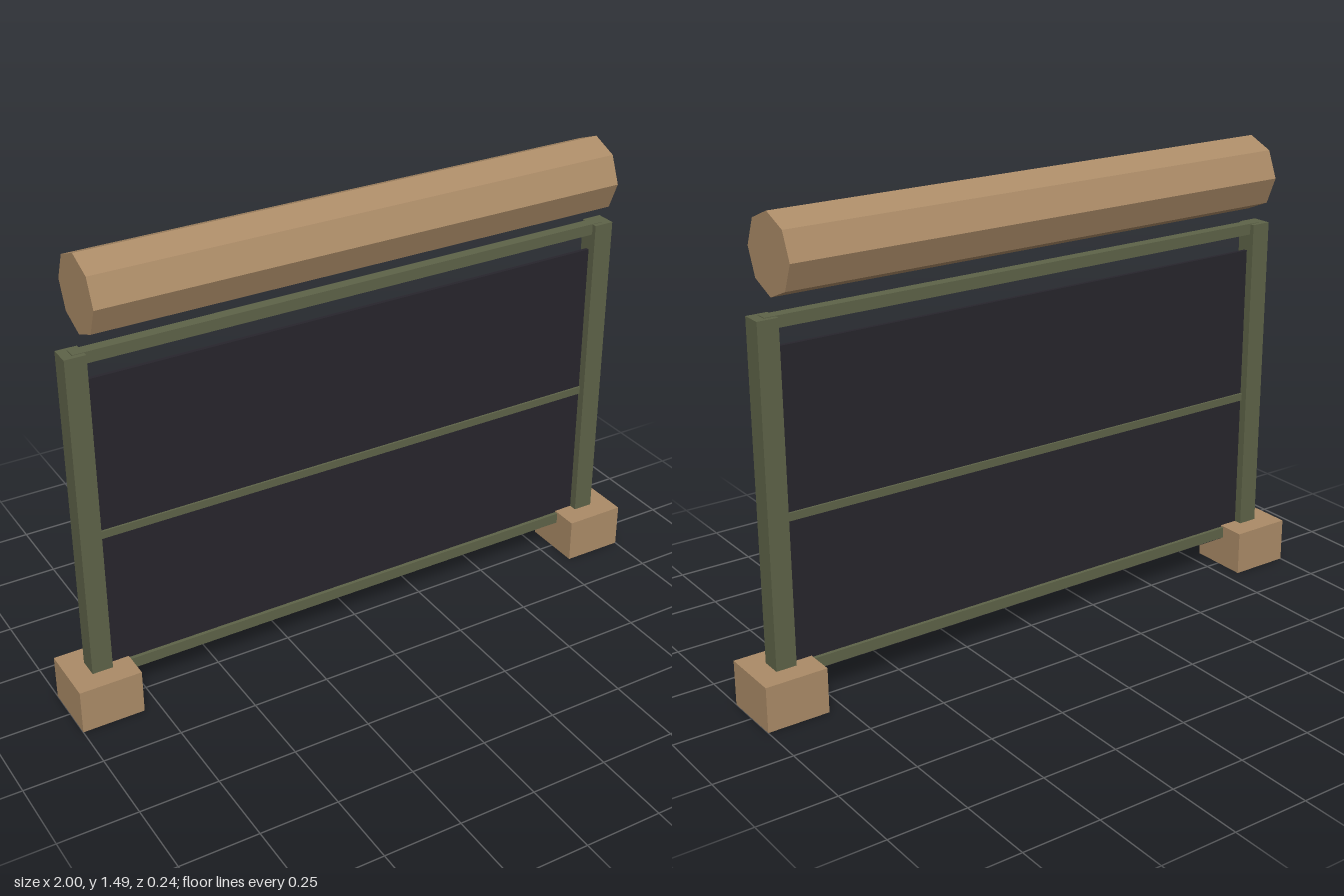
import * as THREE from 'three';

export function createModel() {
  const model = new THREE.Group();
  model.name = 'framedScreen';

  const mat = (color) => new THREE.MeshStandardMaterial({ color, flatShading: true });
  const wood = mat(0xab8b67);
  const olive = mat(0x5e6348);
  const dark = mat(0x27252c);

  const add = (name, geometry, material, x, y, z = 0) => {
    const mesh = new THREE.Mesh(geometry, material);
    mesh.name = name;
    mesh.position.set(x, y, z);
    model.add(mesh);
    return mesh;
  };
  const box = (name, w, h, d, material, x, y) =>
    add(name, new THREE.BoxGeometry(w, h, d), material, x, y);

  // Feet and posts, mirrored left and right
  for (const [side, s] of [['left', 1], ['right', -1]]) {
    box(`${side}Foot`, 0.2, 0.145, 0.2, wood, s * 0.9, 0.0725);
    box(`${side}Post`, 0.066, 1.199, 0.066, olive, s * 0.897, 0.6005);
  }

  // Horizontal rails between the posts
  box('topRail', 1.8, 0.036, 0.036, olive, 0, 1.184);
  box('middleRail', 1.8, 0.025, 0.025, olive, 0, 0.603);
  box('bottomRail', 1.8, 0.036, 0.036, olive, 0, 0.122);

  // Thin dark panel
  box('panel', 1.74, 1.015, 0.012, dark, 0, 0.603);

  // Eight-sided roll hovering above the frame, one edge pointing up
  const roll = new THREE.CylinderGeometry(0.12, 0.12, 1.735, 8);
  roll.rotateZ(Math.PI / 2);
  add('roll', roll, wood, 0, 1.369);

  return model;
}
